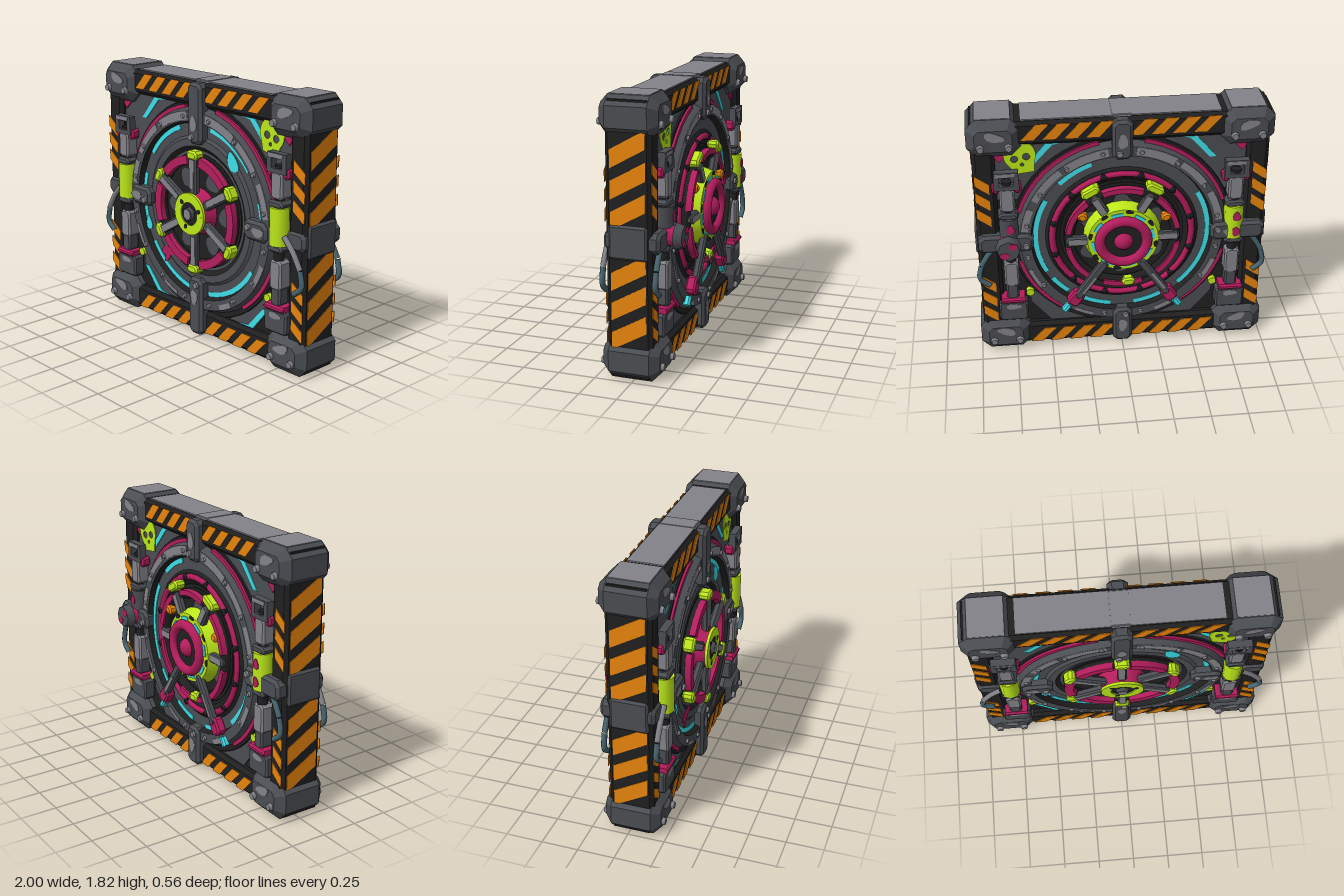
import * as THREE from 'three';

const mat = (name, color) => Object.assign(new THREE.MeshStandardMaterial({ color }), { name });
const M = {
  charcoal: mat('charcoal metal', 0x4a4d52), light: mat('worn light grey', 0x828289),
  black: mat('black', 0x202021), orange: mat('hazard orange', 0xfa8f0e),
  magenta: mat('magenta', 0xb31d5c), cyan: mat('cyan', 0x3fdfe8),
  lime: mat('lime', 0xbfea1a), steel: mat('blue steel', 0x48656f),
};
const CY = 0.91, RAD = Math.PI / 180; // CY: height of the door axis

function place(parent, obj, name, x = 0, y = 0, z = 0, rz = 0) {
  obj.name = name;
  obj.position.set(x, y, z);
  obj.rotation.z = rz;
  parent.add(obj);
  return obj;
}
const add = (parent, geo, material, ...rest) => place(parent, new THREE.Mesh(geo, material), ...rest);
const group = (parent, ...rest) => place(parent, new THREE.Group(), ...rest);
// placed by radius and angle, turned to point outward
const addPolar = (parent, geo, material, name, r, deg, z) =>
  add(parent, geo, material, name, r * Math.cos(deg * RAD), r * Math.sin(deg * RAD), z, deg * RAD);
const poly = points => new THREE.Shape(points.map(([x, y]) => new THREE.Vector2(x, y)));
const disc = (r0, r1, h, n = 24) => new THREE.CylinderGeometry(r0, r1, h, n).rotateX(Math.PI / 2);
const plate = (shape, depth = 0.006) => new THREE.ExtrudeGeometry(shape, { depth, bevelEnabled: false, curveSegments: 24 });
// box with all edges chamfered, centred on its origin
function block(w, h, d, c = 0.012) {
  const a = w / 2 - c, b = h / 2 - c, k = Math.min(c, 0.03);
  const s = poly([[a - k, -b], [a, k - b], [a, b - k], [a - k, b], [k - a, b], [-a, b - k], [-a, k - b], [k - a, -b]]);
  return new THREE.ExtrudeGeometry(s, { depth: d - 2 * c, bevelThickness: c, bevelSize: c, bevelSegments: 1 })
    .translate(0, 0, c - d / 2);
}
function arc(r0, r1, deg0, deg1, depth) {
  const s = new THREE.Shape().absarc(0, 0, r1, deg0 * RAD, deg1 * RAD, false);
  return plate(s.absarc(0, 0, r0, deg1 * RAD, deg0 * RAD, true), depth);
}
// irregular patch of worn paint
function patch(rx, ry, seed) {
  const p = [];
  for (let i = 0; i < 12; i++) {
    const t = i * Math.PI / 6, k = 0.9 + 0.1 * Math.sin(seed * 7 + i * 1.6);
    p.push([rx * k * Math.cos(t), ry * k * Math.sin(t)]);
  }
  return plate(poly(p), 0.004);
}
// slanted hazard bars along local x, centred
function hazard(parent, len, wide, period, slant, ...at) {
  const g = group(parent, 'hazardStripes', ...at);
  const n = Math.floor((len - Math.abs(slant)) / period + 0.6), w = period * 0.3, h = wide / 2, k = slant / 2;
  const bar = poly([[-w - k, -h], [w - k, -h], [w + k, h], [k - w, h]]);
  for (let i = 0; i < n; i++) add(g, plate(bar, 0.005), M.orange, 'hazardStripe', (i - (n - 1) / 2) * period);
}
function skullMark() {
  const s = new THREE.Shape().absarc(0, 0.02, 0.105, -0.6, Math.PI + 0.6, false);
  s.lineTo(-0.055, -0.11).lineTo(0.065, -0.12);
  for (const [x, y, r] of [[-0.04, 0, 0.024], [0.04, 0, 0.024], [0, -0.05, 0.012]]) {
    s.holes.push(new THREE.Path().absarc(x, y, r, 0, Math.PI * 2, true));
  }
  return plate(s);
}

function latch(g, s, back) {
  const L = group(g, 'latch', 0.76 * s);
  const rod = (r, len, m, y, name) => add(L, new THREE.CylinderGeometry(r, r, len, 10), m, name, 0, y, 0.055);
  rod(0.035, 1.0, M.black, 0.88, 'latchRod');
  rod(0.066, 0.25, back && s < 0 ? M.charcoal : M.lime, 0.985, 'latchGrip');
  if (back) for (const y of [0.92, 1.04]) add(L, patch(0.03, 0.04, y * 9), M.magenta, 'gripSpot', 0.01, y, 0.119);
  for (const y of [0.84, 1.13]) add(L, block(0.13, 0.05, 0.11), M.charcoal, 'gripCollar', 0, y, 0.05);
  for (const [y, h] of [[0.66, 0.2], [1.25, 0.18]]) add(L, block(0.1, h, 0.1), M.light, 'latchSleeve', 0, y, 0.045);
  for (const k of [-1, 1]) add(L, block(0.055, 0.075, 0.07), M.magenta, 'latchPad', 0.07 * k, 1.335, 0.05);
  const loop = poly([[-0.085, -0.05], [0.085, -0.05], [0.08, 0.08], [-0.08, 0.08]]);
  loop.holes.push(poly([[-0.045, -0.02], [-0.045, 0.045], [0.045, 0.045], [0.045, -0.02]]));
  add(L, plate(loop, 0.05), M.charcoal, 'latchLoop', 0, 1.38, 0.045);
  add(L, plate(poly([[-0.075, 0.05], [0.05, 0.05], [0.06, 0.075], [-0.07, 0.075]])), M.light, 'loopWear', 0, 1.38, 0.092);
  add(L, block(0.085, 0.14, 0.09), M.charcoal, 'latchFoot', 0, 0.52, 0.045);
  add(L, block(0.2, 0.16, 0.09), M.charcoal, 'latchBase', 0, 0.345, 0.045);
  add(L, patch(0.06, 0.025, 2), M.light, 'wornPatch', 0, 0.385, 0.088);
  add(L, block(0.2, 0.04, 0.12), M.magenta, 'latchBand', 0, 0.44, 0.045);
  for (const y of back ? [0.46, 0.68] : [0.46]) add(L, disc(0.028, 0.028, 0.04, 10), M.lime, 'indicatorLamp', -0.12 * s, y, 0.02);
  // hose bowing out past the frame
  const pts = [[0.82, 0.93], [0.9, 0.84], [0.96, 0.74], [0.975, 0.63], [0.91, 0.57]]
    .map(([x, y]) => new THREE.Vector3(x * s, y, 0.075));
  const hose = (p, m) => add(g, new THREE.TubeGeometry(new THREE.CatmullRomCurve3(p), 10, 0.019, 7), m, 'hose');
  hose(pts.slice(0, 3), back ? M.steel : M.light);
  hose(pts.slice(2), M.steel);
}

function wheel(door, back) {
  const W = group(door, 'handWheel');
  add(W, disc(0.4, 0.4, 0.01, 36), M.black, 'wheelWell', 0, 0, 0.032);
  add(W, new THREE.TorusGeometry(0.362, 0.034, 6, 36), M.black, 'wheelCore', 0, 0, 0.065);
  for (let i = 0; i < 6; i++) {
    const deg = i * 60 + (back ? 0 : 30);
    addPolar(W, patch(0.07, 0.075, i), M.charcoal, 'wellPlate', 0.25, deg + 30, 0.036);
    add(W, arc(back ? 0.355 : 0.333, 0.392, deg + 9, deg + 51, 0.05), M.magenta, 'wheelRim', 0, 0, 0.06);
    if (back && i > 3) continue; // pistons take the lower two places
    addPolar(W, block(0.27, 0.065, 0.05), M.charcoal, 'spoke', 0.25, deg, 0.09);
    addPolar(W, plate(poly([[-0.1, -0.014], [0.1, -0.02], [0.1, 0.028], [-0.1, 0.026]])), M.light, 'spokeWear', 0.27, deg, 0.112);
    if (!back) addPolar(W, block(0.06, 0.1, 0.08), M.lime, 'spokeCap', 0.4, deg, 0.085);
    else if (i === 1 || i === 2) addPolar(W, block(0.06, 0.13, 0.08), M.lime, 'spokeCap', 0.43, deg, 0.08);
  }
  if (!back) {
    add(W, disc(0.13, 0.165, 0.11), M.magenta, 'hubBase', 0, 0, 0.08);
    add(W, arc(0.08, 0.145, 0, 359.9, 0.02), M.lime, 'hubRing', 0, 0, 0.125);
    add(W, disc(0.08, 0.08, 0.01), M.black, 'hubRecess', 0, 0, 0.132);
    for (const d of [20, 135, 250]) addPolar(W, patch(0.02, 0.018, d), M.black, 'hubChip', 0.1, d, 0.143);
    add(W, disc(0.045, 0.065, 0.07, 6), M.charcoal, 'hubBolt', 0, 0, 0.125);
    add(W, disc(0.035, 0.035, 0.006, 8), M.light, 'hubBoltFace', 0, 0, 0.16);
    return;
  }
  // layered hub, rear ring, lamps and two pistons
  add(W, new THREE.TorusGeometry(0.475, 0.022, 6, 40), M.magenta, 'outerRing', 0, 0, 0.05);
  for (let i = 0; i < 12; i++) addPolar(W, block(0.05, 0.05, 0.05), M.black, 'ringClip', 0.475, i * 30 + 15, 0.055);
  add(W, disc(0.24, 0.265, 0.08), M.lime, 'hubBase', 0, 0, 0.085);
  for (let i = 0; i < 8; i++) {
    add(W, arc(0.19, 0.215, i * 45, i * 45 + 22, 0.006), M.cyan, 'hubLight', 0, 0, 0.125);
    addPolar(W, patch(0.016, 0.03, i), M.black, 'hubChip', 0.225, i * 45 + 34, 0.125);
  }
  add(W, disc(0.18, 0.19, 0.03), M.black, 'hubRecess', 0, 0, 0.125);
  add(W, new THREE.TorusGeometry(0.16, 0.036, 8, 28), M.magenta, 'hubRing', 0, 0, 0.14);
  add(W, new THREE.SphereGeometry(0.07, 14, 10), M.magenta, 'hubKnob', 0, 0, 0.115);
  for (const deg of [28, 145]) addPolar(W, block(0.07, 0.06, 0.06), M.orange, 'amberLamp', 0.33, deg, 0.09);
  addPolar(W, block(0.06, 0.09, 0.06), M.lime, 'limeLamp', 0.36, 276, 0.09);
  for (const deg of [235, 304]) {
    addPolar(W, block(0.36, 0.06, 0.05), M.charcoal, 'piston', 0.38, deg, 0.115);
    addPolar(W, plate(poly([[-0.06, 0], [0.1, 0], [0.1, 0.02], [-0.06, 0.02]])), M.light, 'pistonWear', 0.4, deg, 0.138);
    addPolar(W, block(0.12, 0.09, 0.07), M.magenta, 'pistonEnd', 0.57, deg, 0.1);
    addPolar(W, block(0.1, 0.045, 0.05), M.cyan, 'pistonTip', 0.68, deg, 0.085);
  }
}

function roundDoor(door, back) {
  const profile = [[0.76, 0], [0.75, 0.022], [0.715, 0.022], [0.69, 0.075], [0.62, 0.075], [0.605, 0.035],
    [0.52, 0.035], [0.5, 0.05], [0.45, 0.05], [0.42, 0.028], [0, 0.028]].map(p => new THREE.Vector2(...p));
  const blackBands = back ? [0, 1, 4, 6, 7, 8, 9] : [0, 1, 4, 8];
  for (let i = 0; i < 10; i++) { // separate bands keep the steps crisp
    const band = new THREE.LatheGeometry(profile.slice(i, i + 2), 48).rotateX(Math.PI / 2);
    add(door, band, blackBands.includes(i) ? M.black : M.charcoal, 'doorBand');
  }
  const glow = back ? [[-48, 30], [110, 135], [150, 208], [215, 230], [242, 262], [278, 298]]
    : [[-6, 17], [38, 80], [110, 147], [164, 197], [214, 262], [278, 328]];
  for (const [a, b] of glow) add(door, arc(0.57, 0.603, a, b), M.cyan, 'glowStrip', 0, 0, 0.034);
  for (const [a, b] of [[18, 78], [102, 163], [195, 235], [305, 345]]) {
    add(door, arc(0.703, 0.732, a, b, 0.016), M.magenta, 'magentaTrim', 0, 0, 0.022);
  }
  for (const [a, b, r] of [[8, 28, 0.64], [35, 54, 0.64], [58, 82, 0.63], [98, 124, 0.63], [128, 152, 0.64],
    [158, 173, 0.64], [200, 214, 0.66], [240, 252, 0.66], [290, 300, 0.65], [325, 340, 0.65]]) {
    add(door, arc(r, 0.687, a, b, 0.004), M.light, 'rimWear', 0, 0, 0.074);
  }
  for (let i = 0; i < 16; i++) addPolar(door, disc(0.014, 0.018, 0.02, 8), M.light, 'rivet', 0.655, (i + 0.5) * 22.5, 0.08);
  const splashes = [[0.1, 0.035, 3, 'magenta', -0.31, -0.36, 0.15], [0.025, 0.06, 1, 'magenta', -0.33, -0.4, -0.5],
    [0.05, 0.08, 5, 'cyan', 0.33, 0.4, 0.5], [0.035, 0.06, 4, 'cyan', -0.53, -0.2, 0.2]];
  if (!back) for (const [rx, ry, n, m, x, y, rz] of splashes) add(door, patch(rx, ry, n), M[m], 'paintSplash', x, y, 0.051, rz);
  wheel(door, back);
  // four clamps holding the door to the frame
  for (let i = 0; i < 4; i++) {
    const c = group(door, 'clamp', 0, 0, 0, i * Math.PI / 2);
    const inner = back ? 0.6 : 0.47, end = i % 2 ? 0.885 : back ? 0.97 : 0.68;
    add(c, block(end - inner, 0.135, 0.09, 0.02), M.charcoal, 'clampArm', (end + inner) / 2, 0, 0.055);
    if (!back && i % 2 === 0) add(c, block(0.16, 0.13, 0.07, 0.02), M.charcoal, 'clampFoot', 0.9, 0, 0.03);
    add(c, patch(0.06, 0.035, i), M.light, 'wornPatch', inner + 0.14, 0, 0.099);
    add(c, disc(0.02, 0.025, 0.03, 8), M.light, 'clampBolt', inner + 0.05, 0.02, 0.1);
  }
}

// everything on one face; z = 0 is the panel surface
function face(root, back) {
  const g = group(root, back ? 'backFace' : 'frontFace', 0, 0, back ? -0.08 : 0.12);
  g.rotation.y = back ? Math.PI : 0;
  const door = group(g, 'roundDoor', 0, CY);
  roundDoor(door, back);
  for (const sx of [-1, 1]) {
    latch(g, sx, back);
    hazard(g, 0.44, 0.095, 0.125, 0.07, 0.92 * sx, CY + 0.32, 0.05, Math.PI / 2);
    hazard(g, 0.38, 0.095, 0.125, 0.07, 0.92 * sx, CY - 0.47, 0.05, Math.PI / 2);
    for (const sy of [-1, 1]) {
      const corner = (pts, depth, m, name, z) => add(door, plate(poly(pts.map(([x, y]) => [x * sx, y * sy])), depth), m, name, 0, 0, z);
      corner(sy > 0 ? [[0.25, 0.74], [0.7, 0.74], [0.83, 0.6], [0.83, 0.3], [0.6, 0.3]]
        : [[0.25, 0.74], [0.48, 0.74], [0.64, 0.54], [0.64, 0.3], [0.5, 0.3]], 0.012, M.charcoal, 'cornerPlate', 0);
      if (!back || sy > 0) corner([[0.3, 0.755], [0.47, 0.74], [0.63, 0.55], [0.585, 0.55], [0.45, 0.7], [0.3, 0.725]],
        0.006, M.cyan, 'cornerStrip', 0.012);
      corner([[0.75, 0.64], [0.8, 0.69], [0.86, 0.67], [0.8, 0.59]], 0.012, M.magenta, 'cornerTab', 0.012);
      // corner bolts and worn patches
      const cx = 0.82 * sx, cy = CY + 0.775 * sy;
      add(g, patch(0.075, 0.035, sx + sy * 2), M.light, 'wornPatch', cx, cy + 0.035, 0.09, 0.3 * sx);
      for (const k of [-1, 1]) add(g, disc(0.022, 0.03, 0.035, 8), M.light, 'cornerBolt', cx + 0.09 * k, cy - 0.04, 0.095);
      hazard(g, 0.58, 0.11, 0.14, 0.1, 0.35 * sx, CY + 0.815 * sy, 0.05, 0);
    }
  }
  add(g, skullMark(), M.lime, 'skullMark', back ? -0.66 : 0.66, 1.535, 0.03, back ? 0.2 : -0.2);
  if (!back) return;
  // small valve on the rear
  add(g, disc(0.06, 0.075, 0.12, 8), M.magenta, 'valveStem', -0.77, 0.92, 0.11);
  add(g, disc(0.075, 0.09, 0.055, 8), M.charcoal, 'valveCap', -0.77, 0.92, 0.17);
  for (const k of [-1, 1]) add(g, patch(0.035, 0.028, k), M.magenta, 'valveSpot', -0.77 + 0.03 * k, 0.92 + 0.035 * k, 0.197);
}

export function createModel() {
  const root = new THREE.Group();
  root.name = 'vaultDoor';
  add(root, new THREE.BoxGeometry(1.84, 1.68, 0.2), M.black, 'panel', 0, CY, 0.02);
  // square frame with bevelled rim
  const rim = poly([[-0.95, -0.86], [0.95, -0.86], [0.95, 0.86], [-0.95, 0.86]]);
  rim.holes.push(poly([[-0.85, -0.74], [-0.85, 0.74], [0.85, 0.74], [0.85, -0.74]]));
  add(root, new THREE.ExtrudeGeometry(rim, { depth: 0.25, bevelThickness: 0.025, bevelSize: 0.025, bevelSegments: 1 }),
    M.black, 'frame', 0, CY, -0.105);
  add(root, new THREE.BoxGeometry(1.3, 0.012, 0.24), M.light, 'topPlate', 0, 1.797, 0.02);
  add(root, block(0.16, 0.04, 0.25), M.light, 'topBracket', 0, 1.787, 0.02);
  for (const sx of [-1, 1]) {
    add(root, block(0.05, 0.23, 0.25), M.charcoal, 'sideBracket', 0.965 * sx, CY, 0.02);
    for (const sy of [-1, 1]) {
      add(root, block(0.35, 0.26, 0.38, 0.055), M.charcoal, 'cornerGuard', 0.825 * sx, CY + 0.78 * sy, 0.02);
      // bars running up each outer side
      const s = group(root, 'sideStripes', 0.974 * sx, CY + 0.39 * sy, 0.02);
      s.rotation.y = sx * Math.PI / 2;
      hazard(s, 0.62, 0.23, 0.195, -0.13, 0, 0, 0, Math.PI / 2);
    }
    add(root, new THREE.BoxGeometry(0.23, 0.006, 0.26), M.light, 'cornerTopPlate', 0.825 * sx, 1.82, 0.02);
  }
  face(root, false);
  face(root, true);
  return root;
}
